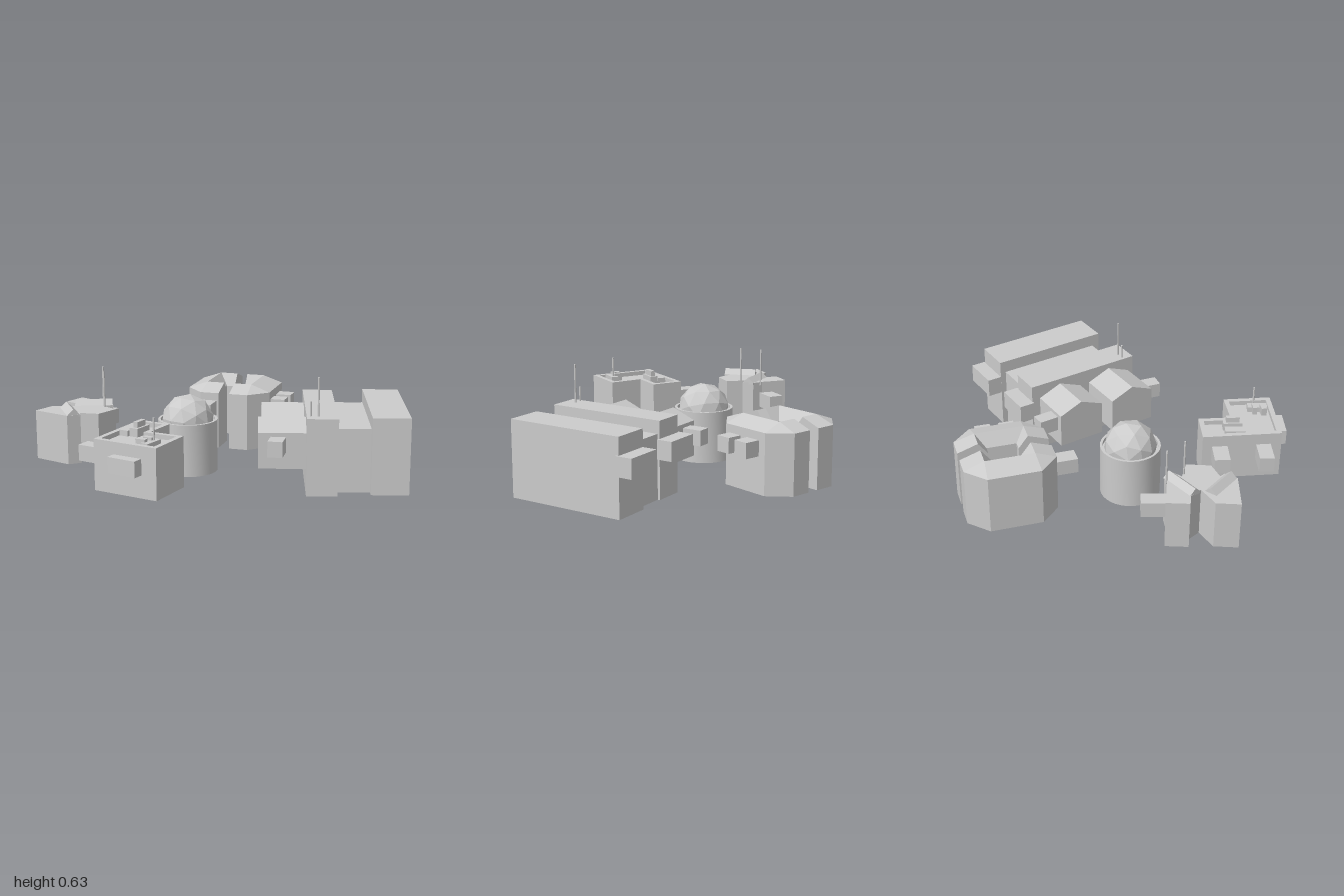
import * as THREE from 'three';
import { toCreasedNormals } from 'three/addons/utils/BufferGeometryUtils.js';

const mat = new THREE.MeshStandardMaterial({ color: 0xcccccc, flatShading: true, side: THREE.DoubleSide });
const smooth = new THREE.MeshStandardMaterial({ color: 0xcccccc, side: THREE.DoubleSide });

function add(parent, name, geo, material = mat) {
  const mesh = new THREE.Mesh(geo, material);
  mesh.name = name;
  parent.add(mesh);
  return mesh;
}

function group(parent, name, x = 0, z = 0, angle = 0) {
  const g = new THREE.Group();
  g.name = name;
  g.position.set(x, 0, z);
  g.rotation.y = angle;
  parent.add(g);
  return g;
}

// Drops the triangles that lie wholly at or below a height, leaving an open shell
function keepAbove(geo, height) {
  const src = (geo.index ? geo.toNonIndexed() : geo).getAttribute('position');
  const pos = [];
  for (let i = 0; i < src.count; i += 3) {
    if (Math.max(src.getY(i), src.getY(i + 1), src.getY(i + 2)) < height + 1e-4) continue;
    for (let k = i; k < i + 3; k++) pos.push(src.getX(k), src.getY(k), src.getZ(k));
  }
  const out = new THREE.BufferGeometry();
  out.setAttribute('position', new THREE.Float32BufferAttribute(pos, 3));
  out.computeVertexNormals();
  return out;
}

// Upright prism over a floor plan of [x, z] points, open below
function prism(parent, name, plan, y0, y1, hole) {
  const toPath = (pts) => pts.map(([x, z]) => new THREE.Vector2(x, -z));
  const shape = new THREE.Shape(toPath(plan));
  if (hole) shape.holes.push(new THREE.Path(toPath(hole)));
  const geo = new THREE.ExtrudeGeometry(shape, { depth: y1 - y0, bevelEnabled: false });
  return add(parent, name, keepAbove(geo.rotateX(-Math.PI / 2).translate(0, y0, 0), y0));
}

// Straight box running from a to b on the plan, open below
function block(parent, name, [ax, az], [bx, bz], width, y0 = 0.23, y1 = 0.315) {
  const len = Math.hypot(bx - ax, bz - az);
  const h = y1 - y0;
  const mesh = add(parent, name, keepAbove(new THREE.BoxGeometry(len, h, width), -h / 2));
  mesh.position.set((ax + bx) / 2, (y0 + y1) / 2, (az + bz) / 2);
  mesh.rotation.y = -Math.atan2(bz - az, bx - ax);
  return mesh;
}

// Gabled bar running from a to b, open below
function gable(parent, name, [ax, az], [bx, bz], width, y0, eave, ridge) {
  const w = width / 2;
  const pts = [[-w, y0], [w, y0], [w, eave], [0, ridge], [-w, eave]];
  const shape = new THREE.Shape(pts.map((p) => new THREE.Vector2(...p)));
  const geo = new THREE.ExtrudeGeometry(shape, { depth: Math.hypot(bx - ax, bz - az), bevelEnabled: false });
  const mesh = add(parent, name, keepAbove(geo, y0));
  mesh.position.set(ax, 0, az);
  mesh.rotation.y = Math.atan2(bx - ax, bz - az);
}

function antenna(parent, x, z, y0, y1) {
  const mesh = add(parent, 'antenna', new THREE.CylinderGeometry(0.005, 0.005, y1 - y0, 6));
  mesh.position.set(x, (y0 + y1) / 2, z);
}

// Half of the ring building: a wall section, open below, carried round five sides
function halfRing(gap) {
  const o = 0.25, k = 0.144, r = 0.136, i = 0.083;
  const right = [
    [[o, gap], [r, gap], [i, gap]],
    [[o, k], [r, r], [i, i]],
    [[k, o], [r, r], [i, i]],
  ];
  const left = right.map((s) => s.map(([x, z]) => [-x, z])).reverse();
  const sections = [...right, ...left].map(([out, top, inn]) => [
    [out[0], 0.027, out[1]], [out[0], 0.36, out[1]], [top[0], 0.4, top[1]],
    [inn[0], 0.33, inn[1]], [inn[0], 0.027, inn[1]],
  ]);
  const pos = [];
  const tri = (...pts) => pts.forEach((p) => pos.push(...p));
  for (let s = 0; s < sections.length - 1; s++) {
    for (let j = 0; j < 4; j++) {
      const a = sections[s][j], b = sections[s][j + 1];
      const c = sections[s + 1][j + 1], d = sections[s + 1][j];
      tri(a, b, c);
      tri(a, c, d);
    }
  }
  const first = sections[0], last = sections[sections.length - 1];
  for (let j = 1; j < 4; j++) {
    tri(first[0], first[j + 1], first[j]);
    tri(last[0], last[j], last[j + 1]);
  }
  const geo = new THREE.BufferGeometry();
  geo.setAttribute('position', new THREE.Float32BufferAttribute(pos, 3));
  geo.computeVertexNormals();
  return geo;
}

// Long hangar of three bays with two gabled annexes
function buildHangar(root) {
  const g = group(root, 'hangar', 0.13, 0.58, -0.51);
  const bay = (name, x0, x1, t0, t1, y0, y1) =>
    block(g, name, [x0, -(t0 + t1) / 2], [x1, -(t0 + t1) / 2], t1 - t0, y0, y1);
  bay('innerBay', 0, 0.167, 0, 0.685, 0, 0.42);
  bay('middleBay', 0.167, 0.344, 0.07, 0.672, 0, 0.35);
  bay('outerBay', 0.344, 0.547, 0.025, 0.705, 0, 0.42);
  bay('rearPorch', -0.015, 0.185, 0.68, 0.77, 0.22, 0.325);
  bay('rearPorch', 0.345, 0.557, 0.69, 0.787, 0.22, 0.325);
  gable(g, 'annex', [-0.255, -0.17], [0, -0.17], 0.27, 0.14, 0.335, 0.39);
  gable(g, 'annex', [-0.237, -0.5], [0, -0.5], 0.27, 0.14, 0.335, 0.39);
  bay('connector', -0.203, -0.125, 0.62, 0.745, 0.23, 0.315);
  block(root, 'connector', [-0.048, 0.556], [0.05, 0.44], 0.08);
  antenna(root, 0.18, 0.535, 0.42, 0.5);
  antenna(root, 0.215, 0.555, 0.42, 0.63);
}

// Open ring building split by a passage
function buildRing(root) {
  const g = group(root, 'ringBuilding', 0.313, -0.546, Math.PI / 4);
  const geo = halfRing(0.032);
  add(g, 'ringHalf', geo);
  add(g, 'ringHalf', geo).rotation.y = Math.PI;
  block(g, 'connector', [-0.369, -0.089], [-0.22, -0.089], 0.09);
  block(g, 'connector', [0.057, 0.34], [0.057, 0.22], 0.087);
  block(g, 'connector', [-0.076, 0.335], [-0.076, 0.22], 0.085);
}

// Round open drum with a faceted dome
function buildDome(root) {
  const g = group(root, 'domeBuilding', -0.22, -0.118);
  const profile = [[0.166, 0.017], [0.166, 0.31], [0.152, 0.31], [0.152, 0.29], [0.135, 0.29]];
  const drum = new THREE.LatheGeometry(profile.map((p) => new THREE.Vector2(...p)), 32);
  add(g, 'drum', toCreasedNormals(drum, 0.6), smooth);
  const ball = new THREE.IcosahedronGeometry(0.147, 1).rotateZ(-0.15).rotateY(0.4);
  add(g, 'dome', keepAbove(ball, 0)).position.y = 0.3;
}

// L-shaped block with a parapet roof
function buildParapetBlock(root) {
  const g = group(root, 'parapetBuilding');
  const plan = [[-0.938, 0.28], [-0.578, 0.038], [-0.478, 0.195], [-0.629, 0.291], [-0.518, 0.447], [-0.738, 0.593]];
  const inner = [[-0.901, 0.288], [-0.586, 0.076], [-0.515, 0.187], [-0.666, 0.283], [-0.555, 0.439], [-0.73, 0.555]];
  prism(g, 'body', plan, 0.11, 0.355);
  prism(g, 'parapet', plan, 0.355, 0.38, inner);
  block(g, 'connector', [-0.928, 0.107], [-0.85, 0.235], 0.08);
  block(g, 'connector', [-0.725, -0.021], [-0.645, 0.11], 0.085);
  block(g, 'connector', [-0.877, 0.479], [-0.8, 0.433], 0.165);
  // Rooftop machinery
  block(g, 'roofUnit', [-0.749, 0.217], [-0.652, 0.163], 0.05, 0.355, 0.385);
  block(g, 'roofUnit', [-0.711, 0.259], [-0.62, 0.206], 0.05, 0.355, 0.4);
  block(g, 'roofUnit', [-0.697, 0.251], [-0.634, 0.214], 0.025, 0.4, 0.43);
  block(g, 'roofUnit', [-0.759, 0.5], [-0.663, 0.447], 0.045, 0.355, 0.385);
  block(g, 'roofUnit', [-0.77, 0.436], [-0.738, 0.479], 0.03, 0.355, 0.4);
  block(g, 'roofUnit', [-0.722, 0.42], [-0.695, 0.463], 0.025, 0.355, 0.4);
  antenna(g, -0.69, 0.465, 0.38, 0.5);
}

// Branching block with two roof ridges
function buildBranchingBlock(root) {
  const g = group(root, 'branchingBuilding');
  const plan = [
    [-1, -0.42], [-0.882, -0.473], [-0.77, -0.405], [-0.749, -0.479], [-0.775, -0.537], [-0.663, -0.59],
    [-0.6, -0.45], [-0.561, -0.398], [-0.578, -0.334], [-0.636, -0.345], [-0.604, -0.238], [-0.727, -0.184],
    [-0.807, -0.25], [-0.818, -0.217], [-0.893, -0.222],
  ];
  prism(g, 'body', plan, 0.108, 0.38);
  gable(g, 'roofRidge', [-0.826, -0.409], [-0.856, -0.222], 0.07, 0.37, 0.38, 0.412);
  gable(g, 'roofRidge', [-0.759, -0.447], [-0.57, -0.366], 0.068, 0.37, 0.38, 0.41);
  block(g, 'connector', [-0.497, -0.537], [-0.63, -0.462], 0.085);
  antenna(g, -0.635, -0.32, 0.36, 0.58);
  antenna(g, -0.592, -0.44, 0.36, 0.58);
}

export function createModel() {
  const root = new THREE.Group();
  root.name = 'settlement';
  buildHangar(root);
  buildRing(root);
  buildDome(root);
  buildParapetBlock(root);
  buildBranchingBlock(root);
  return root;
}
